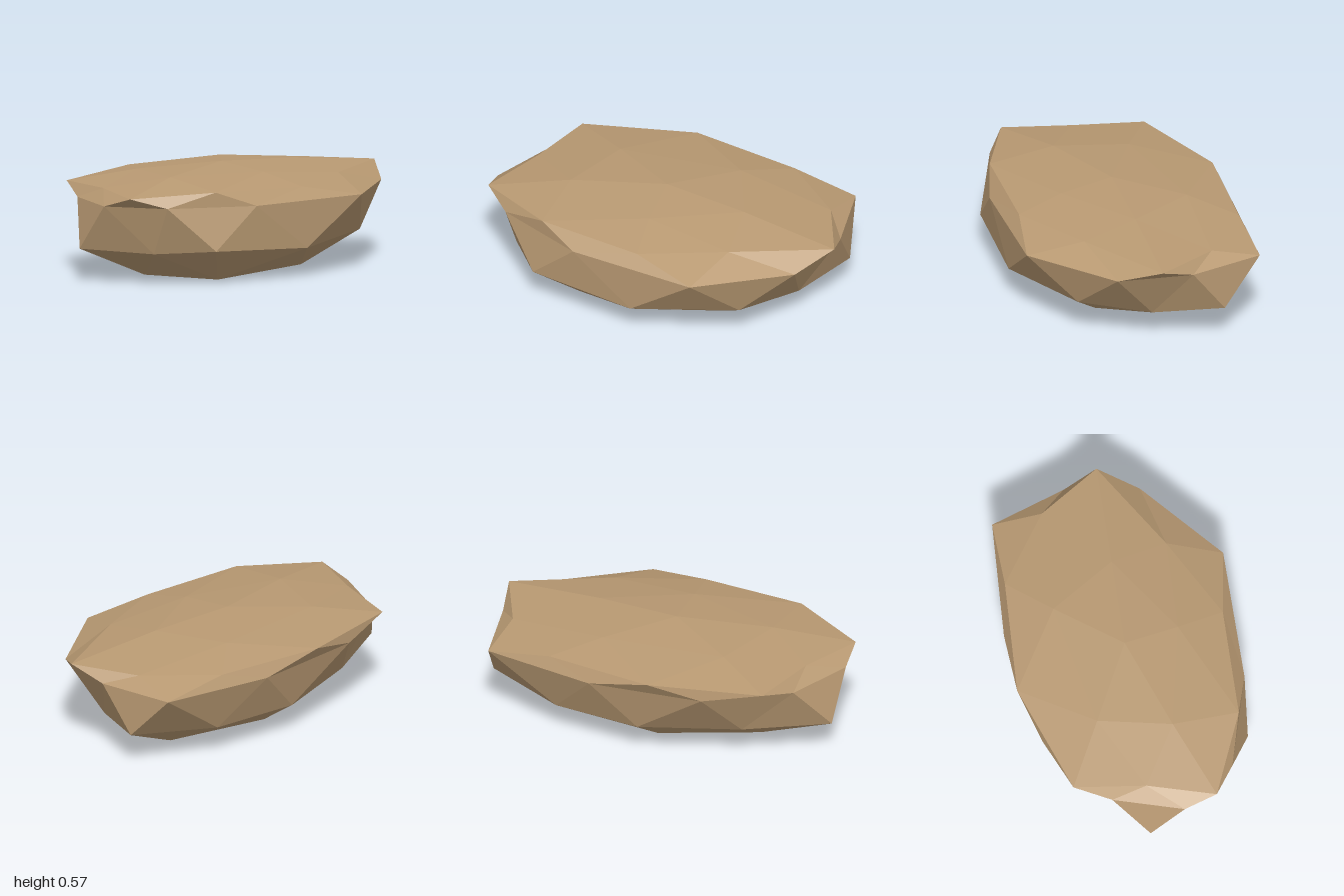
import * as THREE from 'three';

// Rings of corners from crown to base, each going round from +x towards +z
const crown = [-0.04, 0.575, 0];
const base = [0, 0, 0];
const upper = [[0.44, 0.553, 0], [0.02, 0.545, 0.3], [-0.53, 0.55, 0.19], [-0.45, 0.545, -0.21], [0.22, 0.547, -0.35]];
const rim = [[1, 0.497, 0], [0.09, 0.487, 0.555], [-0.94, 0.485, 0.37], [-0.79, 0.49, -0.39], [0.42, 0.49, -0.585]];
const rimMid = [[0.52, 0.5, 0.31], [-0.5, 0.505, 0.555], [-0.84, 0.497, 0], [-0.2, 0.5, -0.61], [0.79, 0.49, -0.33]];
// Waist corners come in pairs: just after one rim corner, just before the next
const waistA = [[0.88, 0.42, 0.22], [-0.27, 0.42, 0.62], [-0.98, 0.43, 0.19], [-0.48, 0.43, -0.515], [0.79, 0.425, -0.6]];
const waistB = [[0.45, 0.42, 0.61], [-0.77, 0.43, 0.48], [-0.87, 0.43, -0.19], [0.15, 0.42, -0.63], [0.93, 0.43, -0.19]];
const lower = [[0.62, 0.19, 0.37], [-0.53, 0.19, 0.6], [-1, 0.18, 0], [-0.09, 0.165, -0.525], [0.88, 0.18, -0.38]];
const lowerMid = [[0.78, 0.155, 0], [0.08, 0.16, 0.61], [-0.77, 0.17, 0.36], [-0.6, 0.17, -0.28], [0.41, 0.16, -0.53]];
const foot = [[0.35, 0, 0.2], [-0.36, 0, 0.39], [-0.56, 0, 0], [-0.08, 0, -0.28], [0.5, 0, -0.22]];

function rockGeometry() {
  const positions = [];
  const tri = (a, b, c) => positions.push(...a, ...b, ...c);

  for (let k = 0; k < 5; k++) {
    const n = (k + 1) % 5;
    const p = (k + 4) % 5;

    // Shallow cap
    tri(crown, upper[n], upper[k]);
    tri(upper[k], rimMid[k], rim[k]);
    tri(upper[k], upper[n], rimMid[k]);
    tri(upper[n], rim[n], rimMid[k]);

    // Band from rim to waist, pointing down to a lower corner
    tri(rim[k], rimMid[k], waistA[k]);
    tri(rimMid[k], waistB[k], waistA[k]);
    tri(rimMid[k], rim[n], waistB[k]);
    tri(waistA[k], waistB[k], lower[k]);

    // Band from waist to lower ring, pointing up to a rim corner
    tri(rim[k], waistA[k], waistB[p]);
    tri(waistB[p], lowerMid[k], lower[p]);
    tri(waistA[k], lower[k], lowerMid[k]);
    tri(waistB[p], waistA[k], lowerMid[k]);

    // Tapered underside and flat base
    tri(lower[p], lowerMid[k], foot[p]);
    tri(lowerMid[k], foot[k], foot[p]);
    tri(lowerMid[k], lower[k], foot[k]);
    tri(foot[p], foot[k], base);
  }

  const geometry = new THREE.BufferGeometry();
  geometry.setAttribute('position', new THREE.Float32BufferAttribute(positions, 3));
  geometry.computeVertexNormals(); // unshared corners give flat facets
  return geometry;
}

export function createModel() {
  const stone = new THREE.MeshStandardMaterial({ color: 0xb89972, flatShading: true });
  stone.name = 'tan stone';

  const rock = new THREE.Mesh(rockGeometry(), stone);
  rock.name = 'rock';

  const group = new THREE.Group();
  group.name = 'flatRock';
  group.add(rock);
  return group;
}
